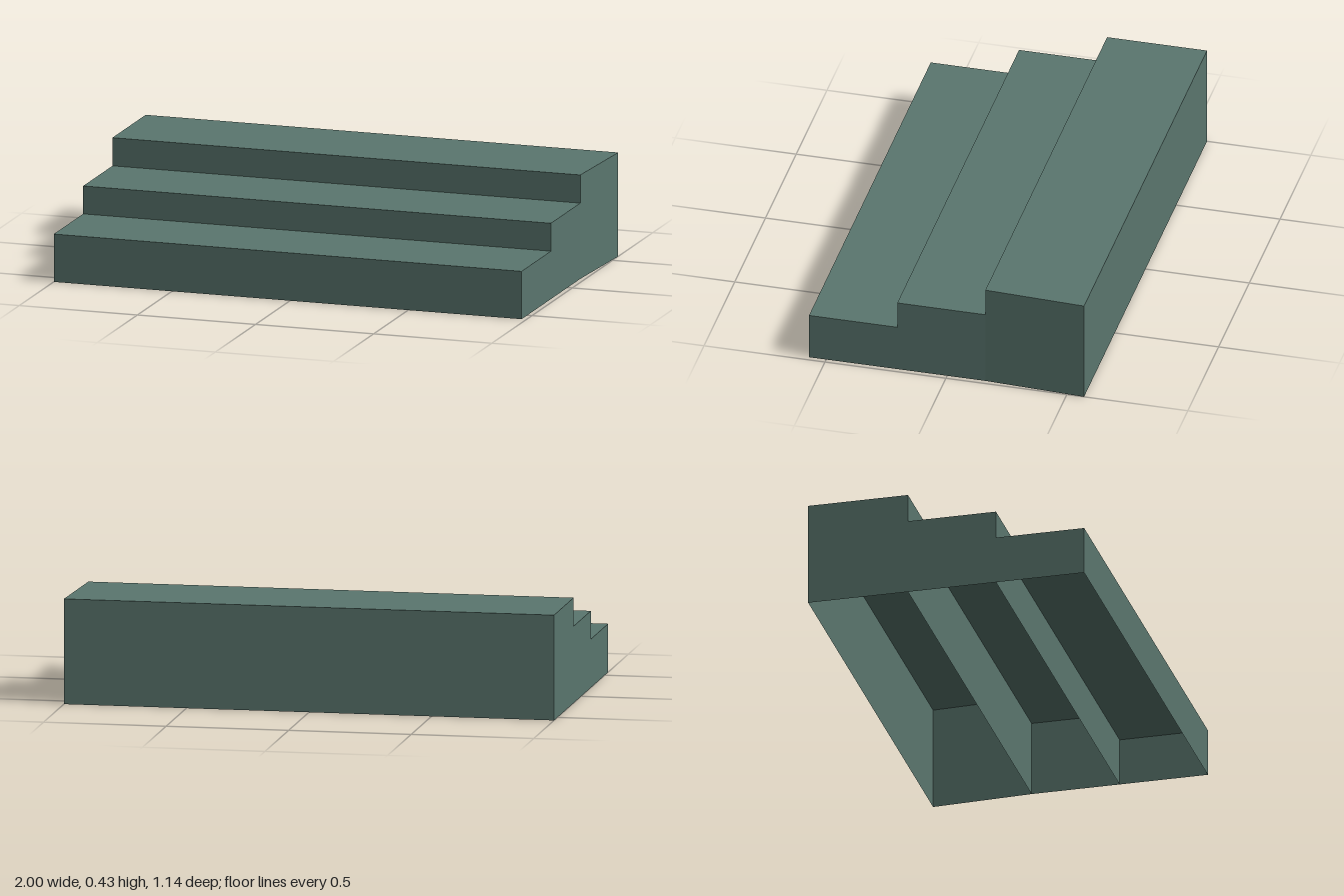
import * as THREE from 'three';

// Flat four-cornered sheet, corners counter-clockwise seen from outside
function panel(name, corners, material) {
  const geometry = new THREE.BufferGeometry();
  geometry.setAttribute('position', new THREE.Float32BufferAttribute(corners.flat(), 3));
  geometry.setIndex([0, 1, 2, 0, 2, 3]);
  geometry.computeVertexNormals();
  const mesh = new THREE.Mesh(geometry, material);
  mesh.name = name;
  return mesh;
}

export function createModel() {
  const model = new THREE.Group();
  model.name = 'steps';

  const green = new THREE.MeshStandardMaterial({ color: 0x5a766e, side: THREE.DoubleSide });
  green.name = 'grey green';

  const left = -1;
  // Each step is a hollow box, open below; the back one flares at its right end
  const steps = [
    { name: 'lowerStep', front: 0.571, back: 0.206, height: 0.197, frontX: 0.98, backX: 0.98 },
    { name: 'middleStep', front: 0.206, back: -0.158, height: 0.312, frontX: 0.98, backX: 0.98 },
    { name: 'upperStep', front: -0.158, back: -0.571, height: 0.428, frontX: 0.98, backX: 1 },
  ];

  for (const { name, front, back, height: h, frontX, backX } of steps) {
    const step = new THREE.Group();
    step.name = name;
    step.add(
      panel('tread', [[left, h, front], [frontX, h, front], [backX, h, back], [left, h, back]], green),
      // Risers run down to the floor and divide the hollow underside
      panel('riser', [[left, 0, front], [frontX, 0, front], [frontX, h, front], [left, h, front]], green),
      panel('rightEnd', [[frontX, 0, front], [backX, 0, back], [backX, h, back], [frontX, h, front]], green),
      panel('leftEnd', [[left, 0, back], [left, 0, front], [left, h, front], [left, h, back]], green),
    );
    model.add(step);
  }

  // Wall closing the back
  const { back, height, backX } = steps[2];
  model.add(panel('backWall', [[backX, 0, back], [left, 0, back], [left, height, back], [backX, height, back]], green));

  return model;
}
